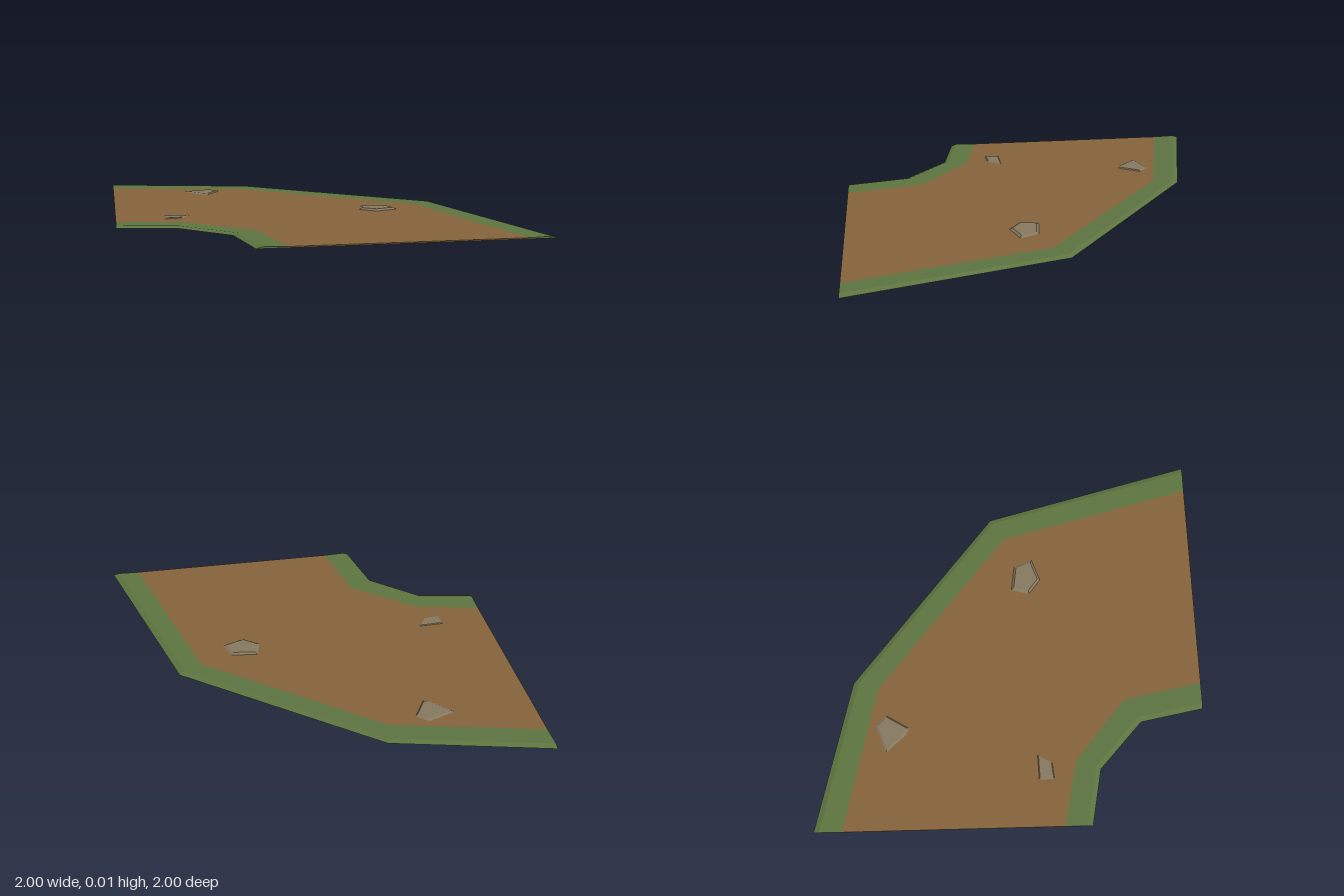
import * as THREE from 'three';
import { ConvexGeometry } from 'three/addons/geometries/ConvexGeometry.js';

const DIRT_Y = 0.006, CREST_Y = 0.009;

// Plan lines [x, z], each running from the left end of the bend to its front end
const outerRim = [[-1, -1], [-0.22, -0.815], [0.705, -0.08], [1, 1]];
const outerDirt = [[-1, -0.857], [-0.255, -0.685], [0.587, -0.01], [0.857, 1]];
const innerDirt = [[-1, 0.26], [-0.665, 0.33], [-0.345, 0.595], [-0.265, 1]];
const innerRim = [[-1, 0.4], [-0.71, 0.455], [-0.468, 0.675], [-0.405, 1]];

// Closed strip lofted through rails, each rail being a plan line at a height
function loft(rails) {
  const n = rails.length, last = rails[0].line.length - 1, pos = [];
  const p = (i, j) => {
    const { line, y } = rails[j % n];
    return [line[i][0], y, line[i][1]];
  };
  const tri = (a, b, c) => pos.push(...a, ...b, ...c);
  for (let i = 0; i < last; i++) {
    for (let j = 0; j < n; j++) {
      tri(p(i, j), p(i, j + 1), p(i + 1, j + 1));
      tri(p(i, j), p(i + 1, j + 1), p(i + 1, j));
    }
  }
  // End caps
  for (let j = 1; j < n - 1; j++) {
    tri(p(0, 0), p(0, j + 1), p(0, j));
    tri(p(last, 0), p(last, j), p(last, j + 1));
  }
  const g = new THREE.BufferGeometry();
  g.setAttribute('position', new THREE.Float32BufferAttribute(pos, 3));
  g.computeVertexNormals();
  return g;
}

// Line between two plan lines
const between = (a, b, t) => a.map(([x, z], i) => [x + (b[i][0] - x) * t, z + (b[i][1] - z) * t]);

// Flat stone with sloping sides
function stone(outline, topY, shrink) {
  const cx = outline.reduce((s, q) => s + q[0], 0) / outline.length;
  const cz = outline.reduce((s, q) => s + q[1], 0) / outline.length;
  const points = [];
  for (const [x, z] of outline) {
    points.push(new THREE.Vector3(x, DIRT_Y - 0.003, z));
    points.push(new THREE.Vector3(cx + (x - cx) * shrink, topY, cz + (z - cz) * shrink));
  }
  return new ConvexGeometry(points);
}

export function createModel() {
  const make = (name, color) => {
    const m = new THREE.MeshStandardMaterial({ color });
    m.name = name;
    return m;
  };
  const dirt = make('dirt', 0x84633b);
  const grass = make('grass', 0x5d7440);
  const rock = make('rock', 0x857860);

  const model = new THREE.Group();
  model.name = 'roadBend';
  const add = (name, geometry, material) => {
    const mesh = new THREE.Mesh(geometry, material);
    mesh.name = name;
    model.add(mesh);
  };

  // Dirt track
  add('dirtTrack', loft([
    { line: outerDirt, y: 0 }, { line: outerDirt, y: DIRT_Y },
    { line: innerDirt, y: DIRT_Y }, { line: innerDirt, y: 0 },
  ]), dirt);

  // Grass verges with bevelled rims
  add('outerVerge', loft([
    { line: outerRim, y: 0 }, { line: between(outerRim, outerDirt, 0.2), y: CREST_Y },
    { line: outerDirt, y: DIRT_Y }, { line: outerDirt, y: 0 },
  ]), grass);
  add('innerVerge', loft([
    { line: innerDirt, y: 0 }, { line: innerDirt, y: DIRT_Y },
    { line: between(innerRim, innerDirt, 0.2), y: CREST_Y }, { line: innerRim, y: 0 },
  ]), grass);

  // Stones set in the track
  add('backStone', stone([[-0.61, -0.645], [-0.45, -0.7], [-0.395, -0.645],
    [-0.425, -0.595], [-0.47, -0.52], [-0.505, -0.53]], 0.011, 0.8), rock);
  add('sideStone', stone([[0.28, 0.02], [0.425, 0.04], [0.463, 0.14],
    [0.34, 0.185], [0.255, 0.12]], 0.015, 0.78), rock);
  add('innerStone', stone([[-0.765, 0.135], [-0.62, 0.13], [-0.665, 0.21],
    [-0.76, 0.22]], 0.01, 0.8), rock);

  return model;
}
